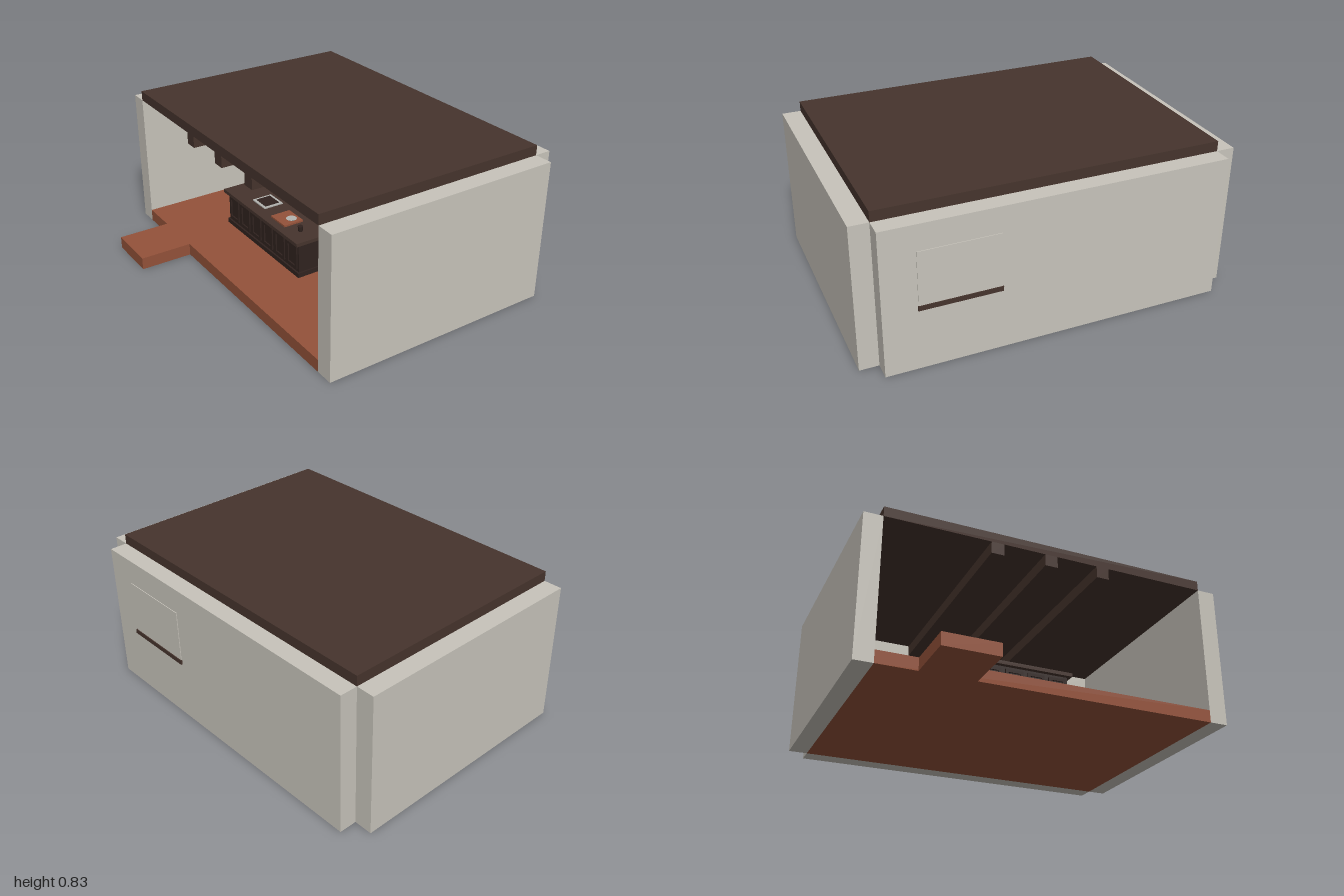
import * as THREE from 'three';

const mat = (name, color) => {
  const m = new THREE.MeshStandardMaterial({ color });
  m.name = name;
  return m;
};

export function createModel() {
  const wall = mat('plaster', 0xc8c4bb);
  const floor = mat('terracotta', 0x94523a);
  const wood = mat('dark wood', 0x46342d);
  const cabinet = mat('cabinet wood', 0x30231f);
  const steel = mat('steel', 0xb4b4b0);

  const room = new THREE.Group();
  room.name = 'room';

  // Box given by its lower and upper limits on each axis
  const box = (name, material, x0, x1, y0, y1, z0, z1, parent = room) => {
    const mesh = new THREE.Mesh(new THREE.BoxGeometry(x1 - x0, y1 - y0, z1 - z0), material);
    mesh.position.set((x0 + x1) / 2, (y0 + y1) / 2, (z0 + z1) / 2);
    mesh.name = name;
    parent.add(mesh);
    return mesh;
  };
  const round = (name, material, r0, r1, h, x, y, z, parent) => {
    const mesh = new THREE.Mesh(new THREE.CylinderGeometry(r1, r0, h, 20), material);
    mesh.position.set(x, y + h / 2, z);
    mesh.name = name;
    parent.add(mesh);
    return mesh;
  };

  // Shell: floor, entrance step, three walls and roof; the -x side stays open
  const X0 = -0.565, X1 = 0.753;
  box('floor', floor, X0, X1, 0, 0.068, -0.9, 0.9);
  box('entranceStep', floor, -0.857, X0, 0, 0.068, -0.69, -0.4);
  box('frontWall', wall, X0, X1, 0, 0.78, 0.9, 1);
  box('backWall', wall, X0, X1, 0, 0.78, -1, -0.9);
  box('sideWall', wall, X1, 0.848, 0, 0.78, -0.9, 0.9);
  box('roof', wood, X0, X1, 0.78, 0.835, -0.9, 0.9);

  // Ceiling beams
  for (const z of [-0.3, 0, 0.3])
    box('ceilingBeam', wood, X0, X1, 0.715, 0.78, z - 0.035, z + 0.035);

  // Window set through the side wall
  const windowGroup = new THREE.Group();
  windowGroup.name = 'window';
  room.add(windowGroup);
  box('windowPane', wall, 0.748, 0.852, 0.355, 0.642, 0.31, 0.725, windowGroup);
  box('windowSill', wood, 0.735, 0.857, 0.33, 0.355, 0.305, 0.728, windowGroup);

  // Kitchen counter with plinth, panelled doors and top
  const counter = new THREE.Group();
  counter.name = 'counter';
  room.add(counter);
  const cz0 = -0.5, cz1 = 0.24;
  box('counterPlinth', cabinet, -0.25, -0.04, 0.068, 0.095, cz0 - 0.01, cz1 + 0.01, counter);
  box('counterBody', cabinet, -0.24, -0.05, 0.095, 0.265, cz0, cz1, counter);
  box('counterTop', wood, -0.265, -0.025, 0.265, 0.285, cz0 - 0.02, cz1 + 0.02, counter);
  const doors = 6, step = (cz1 - cz0) / doors;
  for (let i = 0; i < doors; i++) {
    const a = cz0 + i * step + 0.012, b = cz0 + (i + 1) * step - 0.012;
    for (const [z0, z1, y0, y1] of [
      [a, a + 0.016, 0.11, 0.25], [b - 0.016, b, 0.11, 0.25],
      [a + 0.016, b - 0.016, 0.11, 0.126], [a + 0.016, b - 0.016, 0.234, 0.25],
    ]) {
      box('doorFrame', cabinet, -0.248, -0.24, y0, y1, z0, z1, counter);
    }
  }

  // Sink and things on the counter
  const top = 0.285;
  box('sinkRim', steel, -0.2, -0.08, top, top + 0.006, -0.3, -0.17, counter);
  box('sinkBasin', cabinet, -0.185, -0.095, top + 0.006, top + 0.008, -0.285, -0.185, counter);
  box('choppingBoard', floor, -0.22, -0.1, top, top + 0.01, -0.07, 0.07, counter);
  round('plate', steel, 0.02, 0.03, 0.008, -0.15, top + 0.01, 0.03, counter);
  round('cup', cabinet, 0.012, 0.015, 0.03, -0.17, top, 0.15, counter);

  return room;
}
